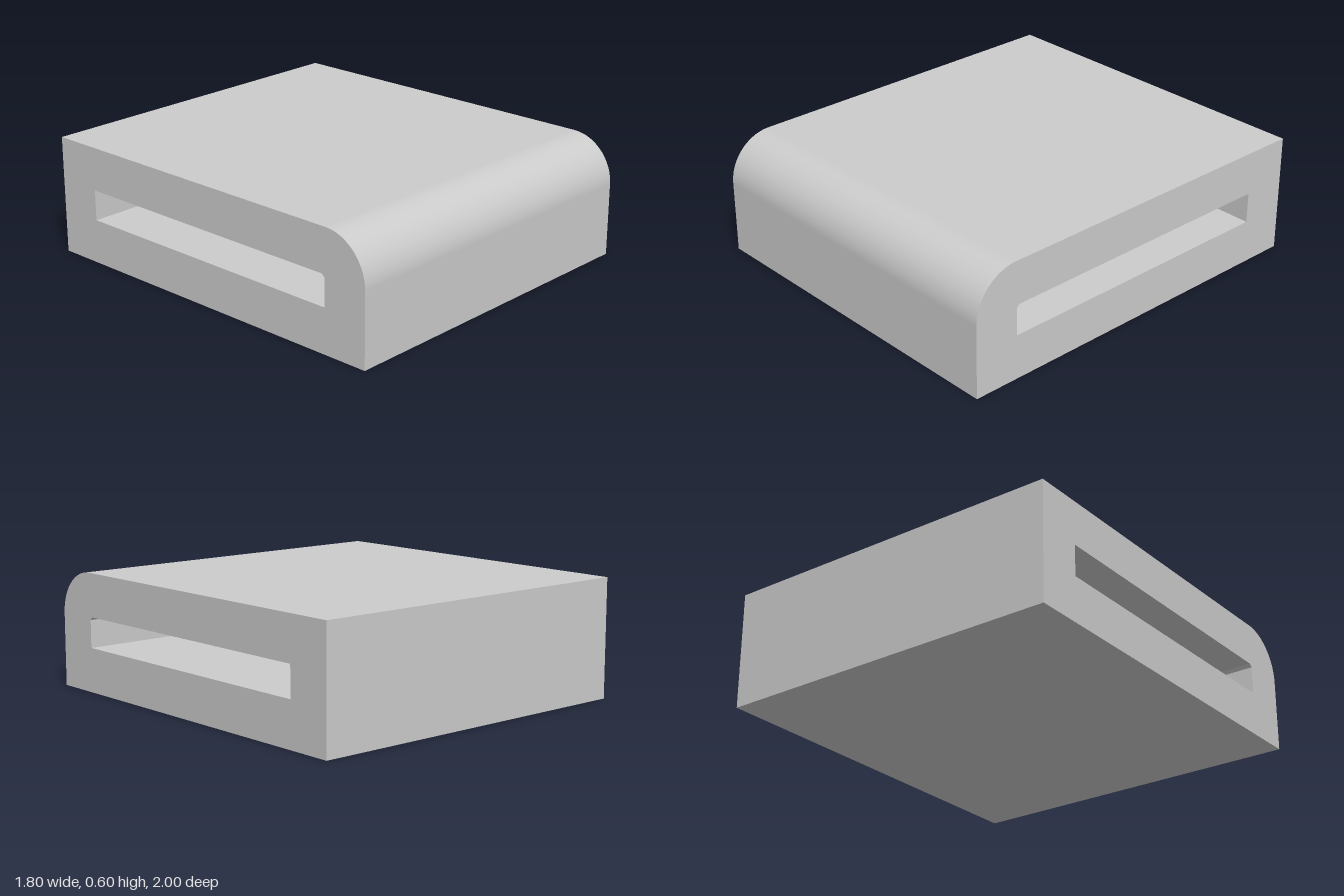
import * as THREE from 'three';

const WIDTH = 1.8, HEIGHT = 0.6, HALF_Z = 1, RADIUS = 0.23, POCKET_DEPTH = 0.6;

// Side profile in (-z, y): a block with its top front edge rounded
function bodyProfile() {
  const s = new THREE.Shape();
  s.moveTo(HALF_Z, 0);
  s.lineTo(HALF_Z, HEIGHT);
  s.lineTo(-HALF_Z + RADIUS, HEIGHT);
  s.absarc(-HALF_Z + RADIUS, HEIGHT - RADIUS, RADIUS, Math.PI / 2, Math.PI, false);
  s.lineTo(-HALF_Z, 0);
  s.closePath();
  return s;
}

// Long slot whose top front corner is slightly clipped
function slotProfile() {
  const z = 0.765, bottom = 0.225, top = 0.38, clip = 0.015;
  return new THREE.Shape([
    [-z, bottom], [z, bottom], [z, top], [-z + clip, top], [-z, top - clip],
  ].map(([a, b]) => new THREE.Vector2(a, b)));
}

export function createModel() {
  const group = new THREE.Group();
  const material = new THREE.MeshStandardMaterial({ color: 0xcccccc });

  // Block with the slot cut across it
  const profile = bodyProfile();
  profile.holes.push(slotProfile());
  const bodyGeometry = new THREE.ExtrudeGeometry(profile, {
    depth: WIDTH, bevelEnabled: false, curveSegments: 20,
  });
  bodyGeometry.translate(0, 0, -WIDTH / 2).rotateY(Math.PI / 2);
  const body = new THREE.Mesh(bodyGeometry, material);
  body.name = 'body';
  group.add(body);

  // Inner walls that close the slot into one pocket per side
  const wallMaterial = material.clone();
  wallMaterial.side = THREE.DoubleSide;
  for (const [side, name] of [[1, 'leftPocketWall'], [-1, 'rightPocketWall']]) {
    const geometry = new THREE.ShapeGeometry(slotProfile()).rotateY(Math.PI / 2);
    const wall = new THREE.Mesh(geometry, wallMaterial);
    wall.position.x = side * (WIDTH / 2 - POCKET_DEPTH);
    wall.name = name;
    group.add(wall);
  }
  return group;
}
